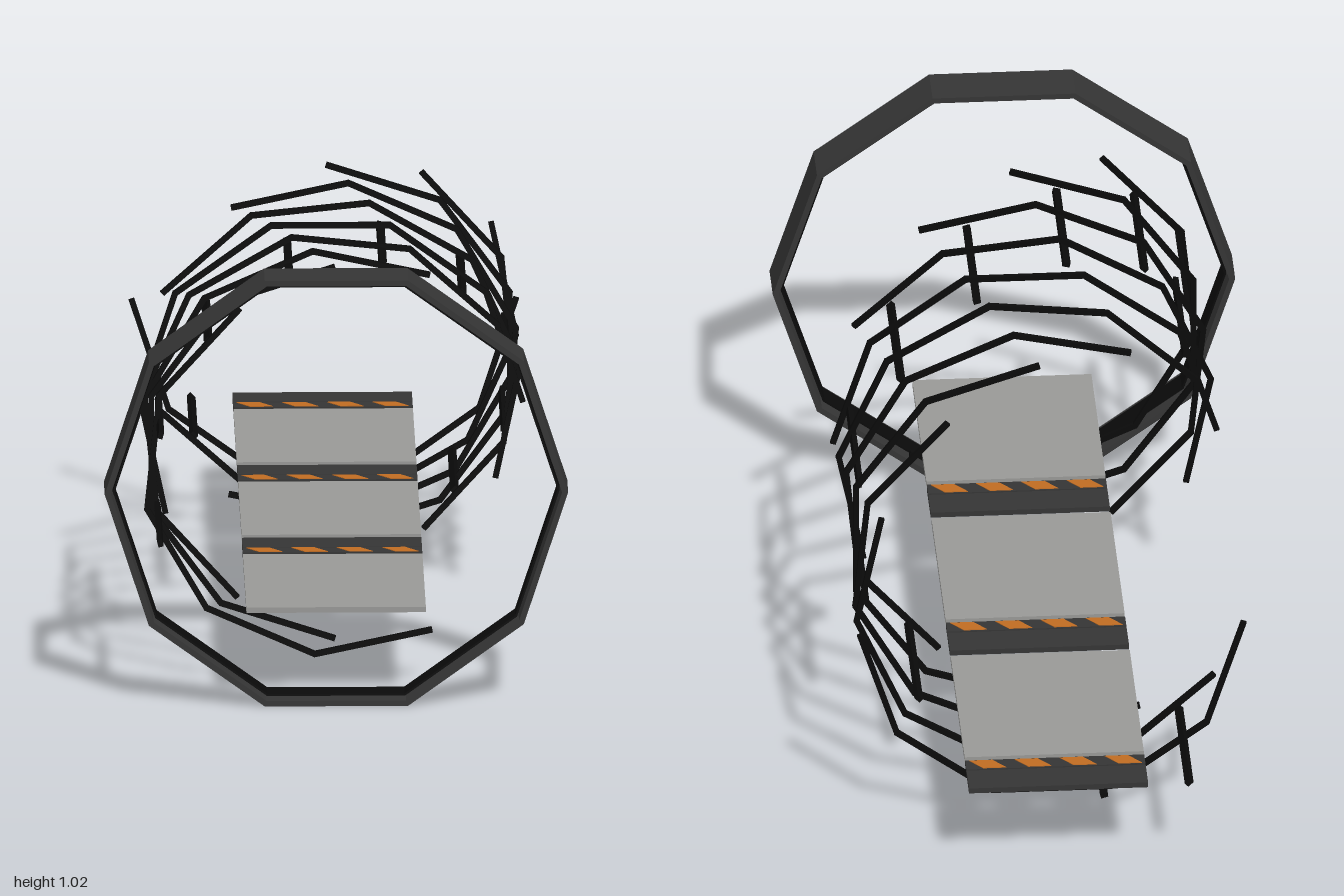
import * as THREE from 'three';

const mat = (name, color, extra = {}) => Object.assign(new THREE.MeshStandardMaterial({ color, ...extra }), { name });
const CY = 0.513; // height of the tunnel axis
const RAD = Math.PI / 180;

export function createModel() {
  const model = new THREE.Group();
  model.name = 'tunnelWalkway';
  const darkMetal = mat('dark metal', 0x353535);
  const black = mat('black rod', 0x0a0a0a);
  const panelGrey = mat('panel grey', 0x989896);
  const orange = mat('warning orange', 0xc06c22);

  const add = (parent, name, geometry, material, x = 0, y = 0, z = 0) => {
    const mesh = new THREE.Mesh(geometry, material);
    mesh.name = name;
    mesh.position.set(x, y, z);
    parent.add(mesh);
    return mesh;
  };

  // Ten-sided hoops at the entrance
  const decagon = (r) => Array.from({ length: 10 }, (_, i) =>
    new THREE.Vector2(r * Math.cos(i * 36 * RAD), r * Math.sin(i * 36 * RAD)));
  const hoop = (outer, inner, depth) => {
    const shape = new THREE.Shape(decagon(outer));
    shape.holes.push(new THREE.Path(decagon(inner).reverse()));
    return new THREE.ExtrudeGeometry(shape, { depth, bevelEnabled: false });
  };
  add(model, 'entranceRing', hoop(0.537, 0.523, 0.112), darkMetal, 0, 0.511, 0.822);
  add(model, 'entranceInnerRing', hoop(0.518, 0.513, 0.06), black, 0, 0.511, 0.848);

  // Half-decagon ribs, each turned 30 degrees from the last
  const R = 0.445;
  const segment = new THREE.BoxGeometry(2 * R * Math.sin(18 * RAD) + 0.006, 0.013, 0.011);
  for (let j = 0; j < 11; j++) {
    const rib = new THREE.Group();
    rib.name = 'rib' + (j + 1);
    rib.position.set(0, CY, 0.73 - 0.15 * j);
    for (let i = 0; i < 5; i++) {
      const a = (120 - 30 * j + 36 * i + 18) * RAD;
      const r = R * Math.cos(18 * RAD);
      const bar = add(rib, 'ribBar', segment, black, r * Math.cos(a), r * Math.sin(a), 0);
      bar.rotation.z = a + Math.PI / 2;
    }
    model.add(rib);
  }

  // Lengthwise rods following a spiral
  const rodGeometry = new THREE.BoxGeometry(0.017, 0.012, 0.346);
  for (let k = 0; k < 12; k++) {
    const a = (194 - 30 * k) * RAD;
    const rod = add(model, 'spiralRod', rodGeometry, black,
      0.422 * Math.cos(a), CY + 0.422 * Math.sin(a), 0.827 - 0.15 * k);
    rod.rotation.z = a + Math.PI / 2;
  }

  // Walkway: three panels, each with a cross plate and a striped strip behind it
  const W = 0.416, T = 0.013, Y = 0.221;
  const slab = (parent, name, z0, z1, material) =>
    add(parent, name, new THREE.BoxGeometry(W, T, z1 - z0), material, 0, Y, (z0 + z1) / 2);
  const stripe = new THREE.ExtrudeGeometry(new THREE.Shape([
    new THREE.Vector2(-0.042, 0.018), new THREE.Vector2(0.012, 0.018),
    new THREE.Vector2(0.042, -0.018), new THREE.Vector2(-0.012, -0.018),
  ]), { depth: T + 0.003, bevelEnabled: false });
  stripe.rotateX(-Math.PI / 2).translate(0, -(T + 0.003) / 2, 0);
  for (let n = 0; n < 3; n++) {
    const section = new THREE.Group();
    section.name = 'walkwaySection' + (n + 1);
    section.position.z = -1 + 0.64 * n;
    slab(section, 'panel', 0.145, 0.615, panelGrey);
    slab(section, 'crossPlate', 0, 0.083, darkMetal);
    slab(section, 'warningStrip', 0.088, 0.13, darkMetal);
    for (let i = 0; i < 4; i++) {
      add(section, 'warningStripe', stripe, orange, -0.158 + 0.105 * i, Y, 0.109);
    }
    model.add(section);
  }
  return model;
}
